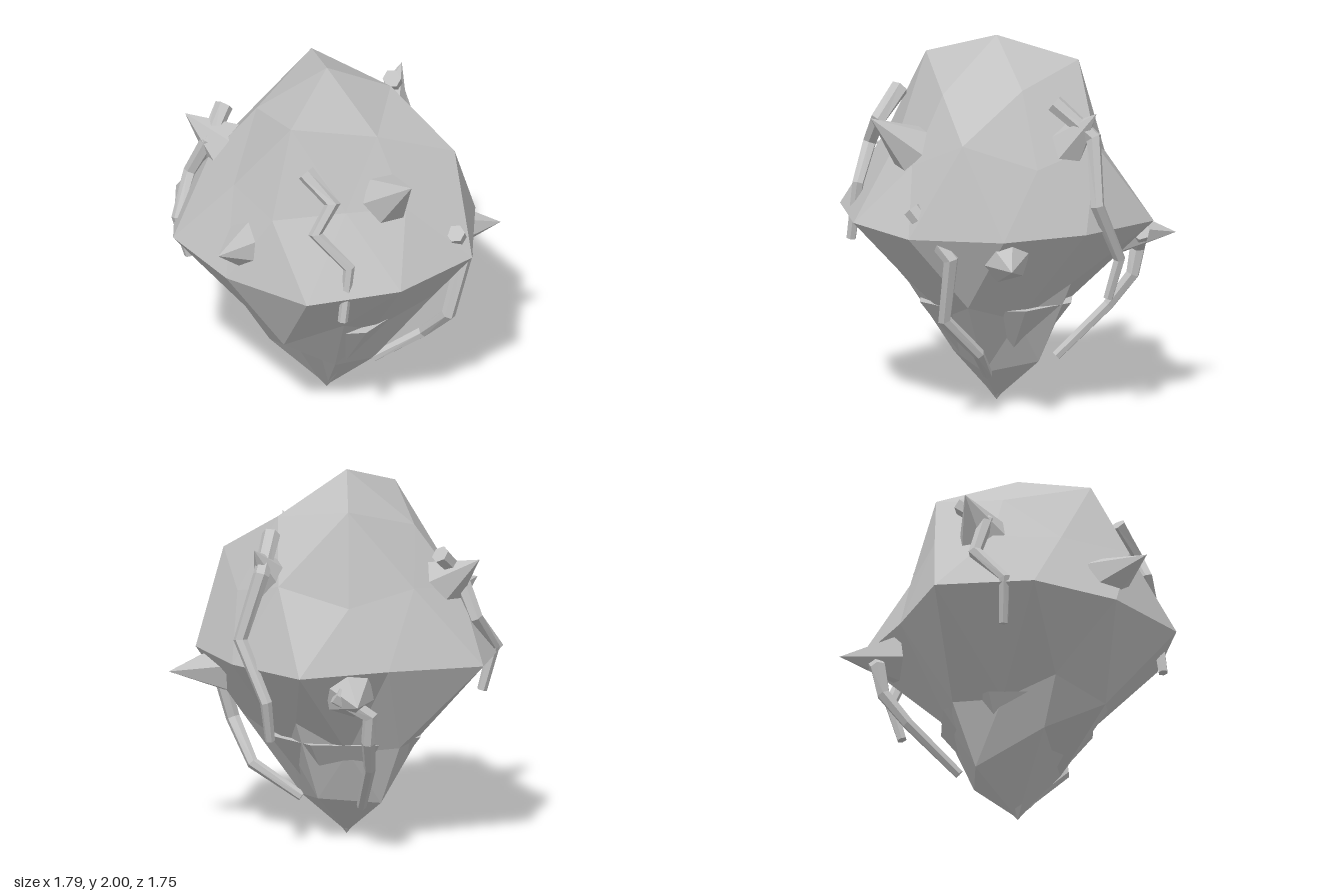
import * as THREE from 'three';

const CX = -0.03, CZ = 0.05; // vertical axis of the body
const V = (p) => new THREE.Vector3(...p);

function soup(triangles) {
  const g = new THREE.BufferGeometry().setFromPoints(triangles.flat());
  g.computeVertexNormals();
  return g;
}

// Ring of points given as [radius, height], angles in degrees from the front towards +x
function ring(list, start, step) {
  return list.map(([r, y], i) => {
    const a = THREE.MathUtils.degToRad(start + step * i);
    return new THREE.Vector3(CX + r * Math.sin(a), y, CZ + r * Math.cos(a));
  });
}

// Irregular subdivided icosahedron standing on a vertex
function bodyGeometry() {
  const top = new THREE.Vector3(CX, 2, CZ), bottom = new THREE.Vector3(CX, 0.01, CZ);
  const A = ring([[0.37, 1.72], [0.39, 1.77], [0.44, 1.86], [0.38, 1.72], [0.453, 1.86]], 18, 72);
  const B = ring([[0.58, 1.36], [0.62, 1.38], [0.58, 1.36], [0.64, 1.39], [0.69, 1.42]], 18, 72);
  const C = ring([[0.69, 1.53], [0.64, 1.47], [0.6, 1.45], [0.57, 1.43], [0.54, 1.41]], 54, 72);
  const E = ring([0.82, 0.86, 0.81, 0.77, 0.874, 0.69, 0.894, 0.84, 0.79, 0.87].map((r) => [r, 1.03]), 0, 36);
  const b = ring([[0.58, 0.62], [0.476, 0.69], [0.47, 0.55], [0.5, 0.65], [0.485, 0.67]], 54, 72);
  const c = ring([[0.34, 0.5], [0.33, 0.5], [0.36, 0.52], [0.39, 0.54], [0.544, 0.56]], 18, 72);
  const a = ring([[0.25, 0.2], [0.27, 0.24], [0.305, 0.22], [0.35, 0.4], [0.23, 0.27]], 54, 72);
  const t = [];
  for (let k = 0; k < 5; k++) {
    const n = (k + 1) % 5;
    const e1 = E[2 * k + 1], e2 = E[(2 * k + 2) % 10], e3 = E[(2 * k + 3) % 10];
    t.push([top, A[k], A[n]], [A[k], B[k], C[k]], [A[k], C[k], A[n]], [A[n], C[k], B[n]]);
    t.push([B[k], e1, C[k]], [e1, b[k], e2], [C[k], e1, e2], [C[k], e2, B[n]]);
    t.push([B[n], e2, e3], [e2, b[k], c[n]], [e2, c[n], e3], [e3, c[n], b[n]]);
    t.push([b[k], a[k], c[n]], [a[k], a[n], c[n]], [a[k], bottom, a[n]], [c[n], a[n], b[n]]);
  }
  return soup(t);
}

// Six-sided tapering tube with mitred bends and closed ends
function tendrilGeometry(path, r0, r1) {
  const pts = path.map(V), last = pts.length - 1, sides = 6;
  const down = new THREE.Vector3(0, -1, 0);
  const rings = pts.map((p, i) => {
    const dir = new THREE.Vector3();
    if (i > 0) dir.add(p.clone().sub(pts[i - 1]).normalize());
    if (i < last) dir.add(pts[i + 1].clone().sub(p).normalize());
    const q = new THREE.Quaternion().setFromUnitVectors(down, dir.normalize());
    const r = r0 + (r1 - r0) * i / last;
    return Array.from({ length: sides }, (_, j) => {
      const an = j / sides * Math.PI * 2;
      return new THREE.Vector3(r * Math.sin(an), 0, r * Math.cos(an)).applyQuaternion(q).add(p);
    });
  });
  const t = [];
  for (let j = 0; j < sides; j++) {
    const n = (j + 1) % sides;
    for (let i = 0; i < last; i++) {
      const u = rings[i], w = rings[i + 1];
      t.push([u[j], w[j], w[n]], [u[j], w[n], u[n]]);
    }
    t.push([pts[0], rings[0][j], rings[0][n]], [pts[last], rings[last][n], rings[last][j]]);
  }
  return soup(t);
}

export function createModel() {
  const model = new THREE.Group();
  model.name = 'spikedPod';
  const grey = new THREE.MeshStandardMaterial({ color: 0xc2c2c2, flatShading: true });
  grey.name = 'pale grey';
  const add = (name, geometry) => {
    const mesh = new THREE.Mesh(geometry, grey);
    mesh.name = name;
    model.add(mesh);
    return mesh;
  };

  add('body', bodyGeometry());

  // Eight-sided cone that breaks through the lower body
  const root = new THREE.ConeGeometry(0.44, 0.57, 8);
  root.rotateX(Math.PI);
  add('rootCone', root).position.set(CX, 0.285, CZ);

  // Spikes: base centre, tip, spin about the axis
  const spikes = [
    [[0.05, 1.43, 0.56], [0.07, 1.62, 0.81], Math.PI / 6],
    [[-0.64, 1.2, 0.29], [-0.9, 1.27, 0.42], 0],
    [[0.6, 0.92, 0.24], [0.89, 0.9, 0.31], 0],
    [[0.17, 0.92, -0.57], [0.23, 0.9, -0.88], 0],
    [[0.43, 1.44, -0.15], [0.61, 1.67, -0.28], 0],
    [[-0.44, 1.43, -0.34], [-0.59, 1.58, -0.51], 0],
  ];
  spikes.forEach(([base, tip, spin], i) => {
    const from = V(base), axis = V(tip).sub(from), h = axis.length();
    const cone = new THREE.ConeGeometry(0.142, h, 6);
    cone.translate(0, h / 2, 0);
    const mesh = add('spike' + (i + 1), cone);
    mesh.position.copy(from);
    mesh.quaternion.setFromUnitVectors(new THREE.Vector3(0, 1, 0), axis.normalize());
    mesh.rotateY(spin);
  });

  // Bent tendrils hanging down the sides
  const tendrils = [
    [[-0.39, 1.67, 0.47], [-0.31, 1.53, 0.62], [-0.42, 1.38, 0.63], [-0.28, 1.19, 0.75], [-0.33, 0.88, 0.77]],
    [[0.4, 1.18, 0.7], [0.55, 0.92, 0.53], [0.45, 0.57, 0.53], [0.41, 0.36, 0.32], [0.18, 0.19, 0.18]],
    [[0.45, 1.71, -0.1], [0.57, 1.53, -0.28], [0.68, 1.18, -0.26], [0.59, 0.86, -0.42], [0.55, 0.64, -0.37]],
    [[-0.39, 1.61, -0.44], [-0.53, 1.47, -0.36], [-0.59, 1.25, -0.45], [-0.73, 1.06, -0.34], [-0.67, 0.82, -0.32]],
    [[0.28, 0.93, -0.66], [0.1, 0.81, -0.71], [0.1, 0.66, -0.68], [0.05, 0.49, -0.56], [0, 0.22, -0.28]],
  ];
  tendrils.forEach((path, i) => add('tendril' + (i + 1), tendrilGeometry(path, 0.05, 0.027)));

  return model;
}
